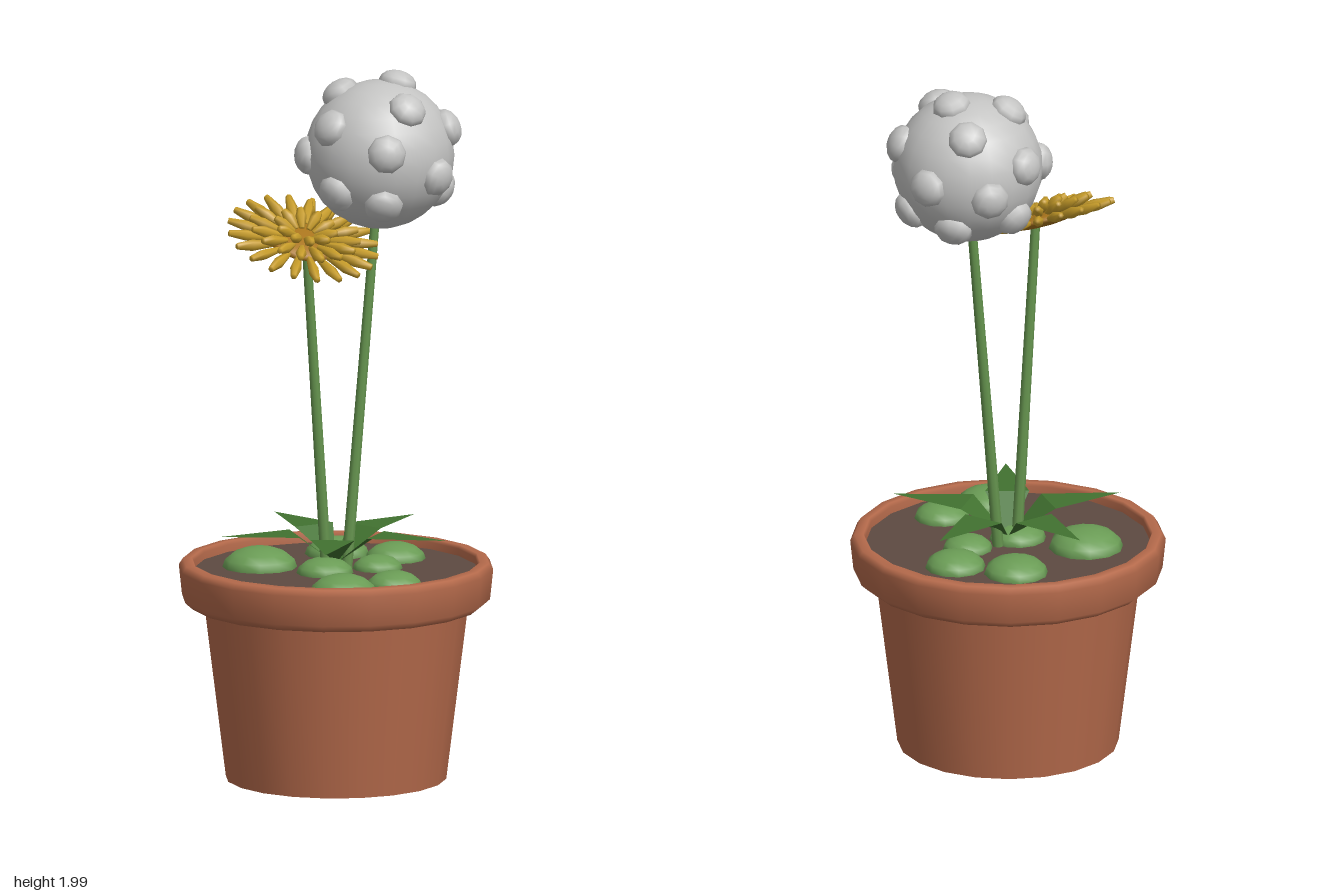
import * as THREE from 'three';

const material = (name, color, side = THREE.FrontSide) => {
  const m = new THREE.MeshStandardMaterial({ color, side });
  m.name = name;
  return m;
};

const UP = new THREE.Vector3(0, 1, 0);
const V = (x, y, z) => new THREE.Vector3(x, y, z);

export function createModel() {
  const terracotta = material('terracotta', 0xb56a4b);
  const soilBrown = material('soilBrown', 0x5d4a41);
  const mossGreen = material('mossGreen', 0x6a9c55);
  const stemGreen = material('stemGreen', 0x66954f);
  const leafGreen = material('leafGreen', 0x417230, THREE.DoubleSide);
  const petalYellow = material('petalYellow', 0xc99e2a);
  const discOchre = material('discOchre', 0xa8741c);
  const paleGrey = material('paleGrey', 0xc4c4c3);

  const model = new THREE.Group();
  model.name = 'pottedFlowers';

  const add = (parent, name, geometry, mat) => {
    const mesh = new THREE.Mesh(geometry, mat);
    mesh.name = name;
    parent.add(mesh);
    return mesh;
  };
  const group = (name) => {
    const g = new THREE.Group();
    g.name = name;
    model.add(g);
    return g;
  };
  const lathe = (profile, sides) =>
    new THREE.LatheGeometry(profile.map(([r, y]) => new THREE.Vector2(r, y)), sides);

  // Pot: tapered wall, flat base, rounded rim and soil
  const pot = group('pot');
  add(pot, 'potWall', lathe([[0.31, 0], [0.372, 0.5]], 20), terracotta);
  add(pot, 'potBase', new THREE.CircleGeometry(0.31, 20).rotateX(Math.PI / 2), terracotta);
  add(pot, 'potRim', lathe([
    [0.365, 0.49], [0.41, 0.495], [0.433, 0.515], [0.442, 0.6],
    [0.43, 0.618], [0.405, 0.62], [0.4, 0.61], [0.4, 0.58],
  ], 20), terracotta);
  const soil = add(pot, 'soil', new THREE.CircleGeometry(0.402, 20).rotateX(-Math.PI / 2), soilBrown);
  soil.position.y = 0.59;

  // Moss cushions on the soil: x, z, radius
  const moss = group('moss');
  for (const [x, z, r] of [
    [-0.142, 0.275, 0.093], [0.026, 0.273, 0.078], [-0.156, -0.155, 0.105],
    [0.123, -0.2, 0.09], [0.23, -0.06, 0.085], [0.115, 0.035, 0.07], [-0.045, 0.015, 0.08],
  ]) {
    const cushion = add(moss, 'mossCushion', new THREE.SphereGeometry(r, 12, 8), mossGreen);
    cushion.position.set(x, 0.59, z);
    cushion.scale.y = 0.55;
  }

  // Five bent leaves around the stems: rising base, level pointed tip
  const leaves = group('leaves');
  const leafGeometry = new THREE.BufferGeometry();
  const base = [0, 0.61, 0], left = [-0.062, 0.7, 0.12], right = [0.062, 0.7, 0.12], tip = [0, 0.7, 0.335];
  leafGeometry.setAttribute('position', new THREE.Float32BufferAttribute(
    [...base, ...left, ...right, ...left, ...tip, ...right], 3));
  leafGeometry.computeVertexNormals();
  for (let i = 0; i < 5; i++) {
    add(leaves, 'leaf', leafGeometry, leafGreen).rotation.y = Math.PI + (i * Math.PI * 2) / 5;
  }

  // Stems
  const stem = (name, from, to) => {
    const along = to.clone().sub(from);
    const mesh = add(model, name, new THREE.CylinderGeometry(0.013, 0.016, along.length(), 8), stemGreen);
    mesh.position.copy(from).addScaledVector(along, 0.5);
    mesh.quaternion.setFromUnitVectors(UP, along.normalize());
  };
  stem('yellowFlowerStem', V(-0.03, 0.57, 0), V(-0.097, 1.53, 0));
  stem('ballFlowerStem', V(0.033, 0.57, 0), V(0.13, 1.6, 0));

  // Yellow flower: tilted forward, disc with three rings of blunt petals
  const flower = group('yellowFlower');
  flower.position.set(-0.1, 1.54, -0.015);
  flower.rotation.x = 0.4;
  add(flower, 'flowerDisc', new THREE.SphereGeometry(0.105, 14, 8), discOchre).scale.y = 0.2;
  const petalGeometry = lathe([[0, 0], [0.008, 0], [0.016, 0.6], [0.009, 1], [0, 1]], 6);
  const rings = [
    // count, start radius, length, height, upward angle
    [20, 0.09, 0.126, 0.0, 0.05],
    [16, 0.065, 0.095, 0.016, 0.22],
    [10, 0.03, 0.065, 0.022, 0.45],
  ];
  rings.forEach(([count, start, length, height, lift], ring) => {
    for (let i = 0; i < count; i++) {
      const a = ((i + ring * 0.5) / count) * Math.PI * 2;
      const petal = add(flower, 'petal', petalGeometry, petalYellow);
      petal.position.set(Math.cos(a) * start, height, Math.sin(a) * start);
      petal.quaternion.setFromUnitVectors(UP, V(
        Math.cos(a) * Math.cos(lift), Math.sin(lift), Math.sin(a) * Math.cos(lift)));
      petal.scale.set(1, length, 1);
    }
  });

  // Ball flower: smooth sphere studded with low domes
  const ball = group('ballFlower');
  ball.position.set(0.155, 1.76, -0.02);
  add(ball, 'ballCore', new THREE.SphereGeometry(0.21, 20, 14), paleGrey);
  const bumpGeometry = new THREE.SphereGeometry(0.055, 9, 8).scale(1, 0.7, 1);
  for (const d of [
    [0.06, 0.2, 0], [-0.09, 0.18, -0.08], [0.1, 0.15, -0.13], [0.005, 0.147, 0.14],
    [0.16, 0.075, 0.1], [-0.185, 0.1, 0.03], [-0.2, 0, -0.09], [-0.06, 0.05, -0.205],
    [0.07, -0.03, -0.2], [-0.09, 0.04, 0.19], [0.08, -0.045, 0.19], [0.2, 0, -0.07],
    [0.17, -0.11, 0.05], [-0.08, -0.12, 0.155], [-0.185, -0.09, 0.06],
    [-0.04, -0.12, -0.18], [0.13, -0.14, -0.1],
  ]) {
    const dir = V(...d).normalize();
    const bump = add(ball, 'ballBump', bumpGeometry, paleGrey);
    bump.position.copy(dir).multiplyScalar(0.203);
    bump.quaternion.setFromUnitVectors(UP, dir);
  }

  return model;
}
